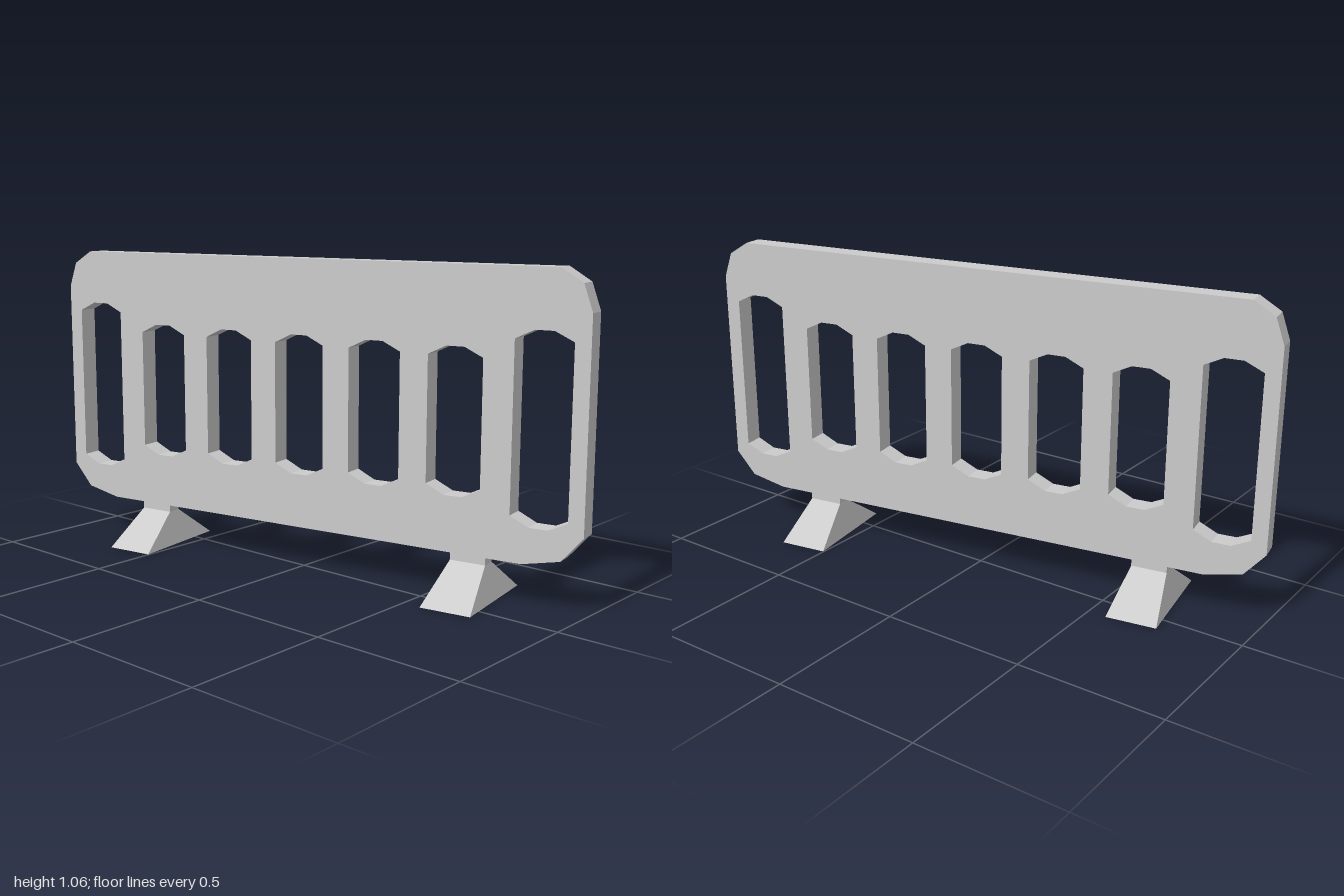
import * as THREE from 'three';

const material = new THREE.MeshStandardMaterial({ color: 0xcccccc, flatShading: true });
const THICKNESS = 0.07;

function addMesh(parent, name, geometry) {
  const mesh = new THREE.Mesh(geometry, material);
  mesh.name = name;
  parent.add(mesh);
  return mesh;
}

// Mirror a right-hand half profile (bottom to top) into a closed list of points
function mirrored(half, cx = 0) {
  const right = half.map(([x, y]) => new THREE.Vector2(cx + x, y));
  const left = half.map(([x, y]) => new THREE.Vector2(cx - x, y)).reverse();
  return [...right, ...left];
}

// Slot with chamfered ends
function slot(cx, bottom, top) {
  const w = 0.094, flat = 0.031, cut = 0.03;
  return new THREE.Path(mirrored([[flat, bottom], [w, bottom + cut], [w, top - cut], [flat, top]], cx));
}

function panelGeometry() {
  const shape = new THREE.Shape(mirrored([
    [0.81, 0.145], [0.938, 0.173], [1.008, 0.255],
    [1.008, 0.93], [0.978, 1.016], [0.907, 1.06],
  ]));
  // five short slots between two tall ones
  for (let i = -2; i <= 2; i++) shape.holes.push(slot(i * 0.287, 0.33, 0.806));
  for (const side of [-1, 1]) shape.holes.push(slot(side * 0.863, 0.264, 0.872));
  const geometry = new THREE.ExtrudeGeometry(shape, { depth: THICKNESS, bevelEnabled: false });
  return geometry.translate(0, 0, -THICKNESS / 2);
}

// Box whose top is narrowed into a four-sided foot
function footGeometry(bottom, top, height) {
  const geometry = new THREE.BoxGeometry(bottom[0], height, bottom[1]);
  geometry.translate(0, height / 2, 0);
  const p = geometry.attributes.position;
  for (let i = 0; i < p.count; i++) {
    if (p.getY(i) > height / 2) {
      p.setX(i, Math.sign(p.getX(i)) * top[0] / 2);
      p.setZ(i, Math.sign(p.getZ(i)) * top[1] / 2);
    }
  }
  geometry.computeVertexNormals();
  return geometry;
}

export function createModel() {
  const model = new THREE.Group();
  model.name = 'barrier';

  // The barrier is built along x, then turned almost along z
  const barrier = new THREE.Group();
  barrier.name = 'barrierBody';
  barrier.rotation.y = -THREE.MathUtils.degToRad(80.35);
  model.add(barrier);

  addMesh(barrier, 'slottedPanel', panelGeometry());

  for (const side of [-1, 1]) {
    const foot = new THREE.Group();
    foot.name = side > 0 ? 'frontFoot' : 'backFoot';
    foot.position.x = side * 0.627;
    addMesh(foot, 'footBase', footGeometry([0.172, 0.371], [0.122, 0.05], 0.118));
    addMesh(foot, 'footNeck', new THREE.BoxGeometry(0.122, 0.03, 0.05)).position.y = 0.133;
    barrier.add(foot);
  }
  return model;
}
